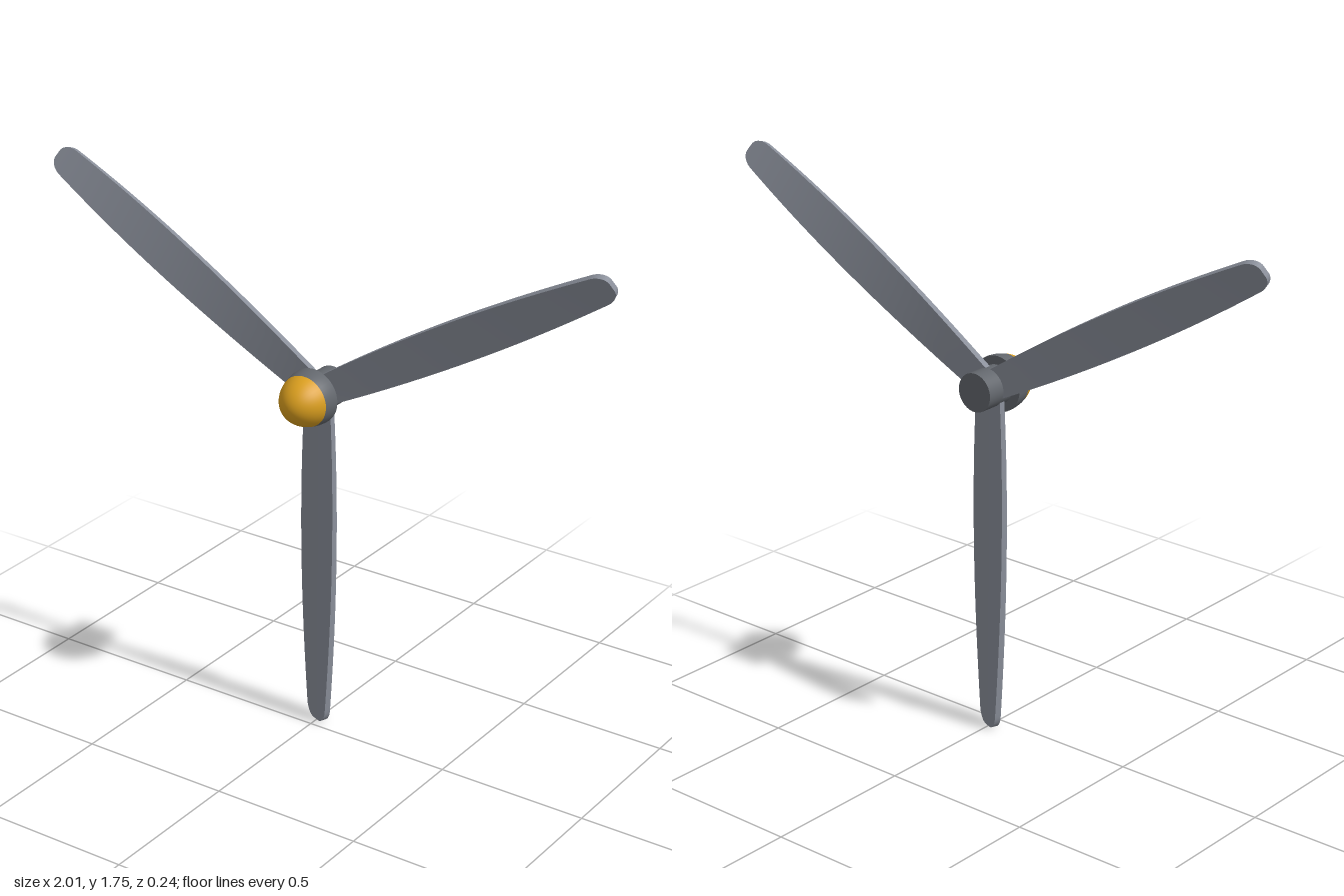
import * as THREE from 'three';

const HUB_Y = 1.148;      // height of the rotation axis
const LENGTH = 1.148;     // blade tip radius
const ROOT = 0.03;        // blade root radius
const BLADE_Z = -0.045;
const THICKNESS = 0.021;
const TIP_TWIST = 0.37;   // radians
const CORNER = 0.045;     // tip rounding

const material = (name, color) => {
  const m = new THREE.MeshStandardMaterial({ color });
  m.name = name;
  return m;
};

// Half the blade width at radius r: a gentle bulge with rounded tip corners
function halfWidth(r) {
  const bulge = r < 0.6 ? 0.06 : 0.075;
  const w = 0.067 - bulge * (r - 0.6) ** 2;
  const d = Math.max(0, r - (LENGTH - CORNER)) / CORNER;
  return w - 0.032 * (1 - Math.sqrt(Math.max(0, 1 - d * d)));
}

// Flat plate, shaped and progressively twisted along its length
function bladeGeometry() {
  const geo = new THREE.BoxGeometry(2, 1, THICKNESS, 4, 48, 1);
  const p = geo.attributes.position;
  for (let i = 0; i < p.count; i++) {
    const t = p.getY(i) + 0.5;
    const r = ROOT + (LENGTH - ROOT) * (1 - (1 - t) ** 2);
    const a = TIP_TWIST * (r - ROOT) / (LENGTH - ROOT);
    const x = p.getX(i) * halfWidth(r), z = p.getZ(i);
    p.setXYZ(i, x * Math.cos(a) + z * Math.sin(a), r, z * Math.cos(a) - x * Math.sin(a));
  }
  geo.computeVertexNormals();
  return geo;
}

// Part of the elliptical spinner between two angles (0 = rim, PI/2 = nose)
function spinnerGeometry(from, to, steps) {
  const pts = [];
  for (let i = 0; i <= steps; i++) {
    const a = from + (to - from) * i / steps;
    pts.push(new THREE.Vector2(Math.max(0, 0.09 * Math.cos(a)), 0.13 * Math.sin(a)));
  }
  return new THREE.LatheGeometry(pts, 40).rotateX(Math.PI / 2);
}

export function createModel() {
  const model = new THREE.Group();
  model.name = 'propeller';
  const bladeGrey = material('blade grey', 0x8a8f9a);
  const hubGrey = material('hub grey', 0x63676d);
  const yellow = material('nose yellow', 0xdca01f);

  const add = (name, geo, mat, z) => {
    const mesh = new THREE.Mesh(geo, mat);
    mesh.name = name;
    mesh.position.set(0, HUB_Y, z);
    model.add(mesh);
    return mesh;
  };

  // Three blades, one pointing down
  const blade = bladeGeometry();
  for (let i = 0; i < 3; i++) {
    add('blade' + (i + 1), blade, bladeGrey, BLADE_Z).rotation.z = Math.PI + i * Math.PI * 2 / 3;
  }

  // Shaft behind the spinner
  add('hub', new THREE.CylinderGeometry(0.062, 0.062, 0.116, 40).rotateX(Math.PI / 2), hubGrey, -0.06);

  // Spinner: grey base, yellow nose and flat back
  const split = Math.asin(0.051 / 0.13);
  add('spinnerBase', spinnerGeometry(0, split, 6), hubGrey, -0.012);
  add('spinnerNose', spinnerGeometry(split, Math.PI / 2, 14), yellow, -0.012);
  add('spinnerBack', new THREE.CircleGeometry(0.09, 40).rotateY(Math.PI), hubGrey, -0.012);

  return model;
}
